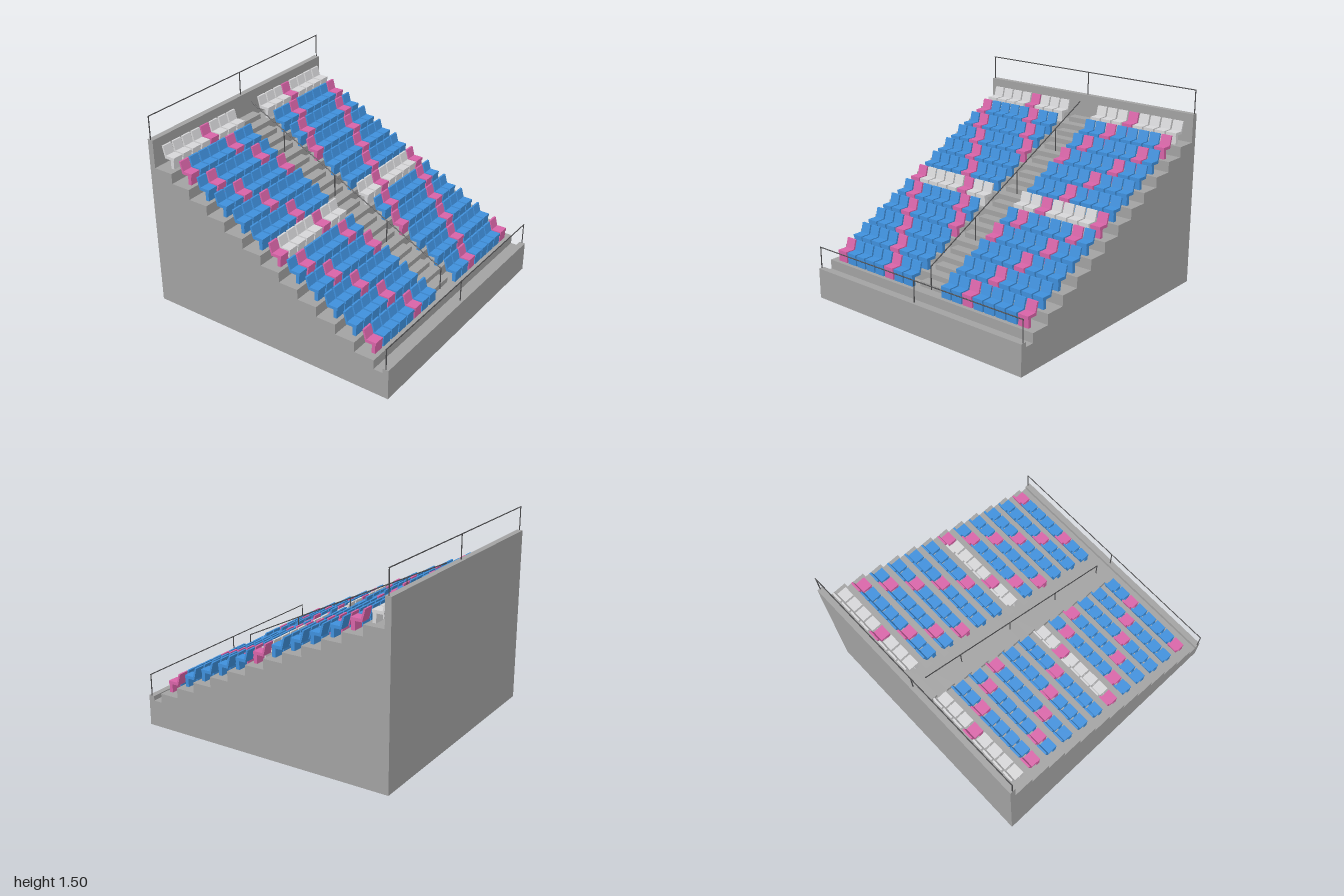
import * as THREE from 'three';

const mat = (name, color) => {
  const m = new THREE.MeshStandardMaterial({ color });
  m.name = name;
  return m;
};

const ROWS = 12, SEATS = 8;
const DEPTH = 1.84 / ROWS, RISE = 0.0767;   // tread depth and row height
const FRONT = 0.885, BASE = 0.265;          // front edge and level of the first row
const HALF_W = 0.955;

// Extrudes a side profile of [-z, y] points along x, centred on x = 0
function sideExtrude(points, width) {
  const shape = new THREE.Shape(points.map(([a, b]) => new THREE.Vector2(a, b)));
  const geo = new THREE.ExtrudeGeometry(shape, { depth: width, bevelEnabled: false });
  geo.rotateY(Math.PI / 2);
  geo.translate(-width / 2, 0, 0);
  return geo;
}

export function createModel() {
  const concrete = mat('concrete grey', 0xa2a2a2);
  const blue = mat('seat blue', 0x3f90dc);
  const pink = mat('seat pink', 0xd864a8);
  const white = mat('seat white', 0xd6d6d8);
  const steel = mat('rail dark grey', 0x4c4c4e);

  const model = new THREE.Group();
  model.name = 'grandstand';
  const group = (name) => {
    const g = new THREE.Group();
    g.name = name;
    model.add(g);
    return g;
  };
  const add = (parent, name, geo, material, x = 0, y = 0, z = 0) => {
    const mesh = new THREE.Mesh(geo, material);
    mesh.name = name;
    mesh.position.set(x, y, z);
    parent.add(mesh);
    return mesh;
  };
  // Round bar between two points
  const bar = (parent, name, a, b, r = 0.004) => {
    const from = new THREE.Vector3(...a), to = new THREE.Vector3(...b);
    const dir = to.clone().sub(from);
    const mesh = add(parent, name, new THREE.CylinderGeometry(r, r, dir.length(), 8), steel);
    mesh.position.copy(from).add(to).multiplyScalar(0.5);
    mesh.quaternion.setFromUnitVectors(new THREE.Vector3(0, 1, 0), dir.normalize());
  };

  // Stepped terrace with front parapet, walkway and back wall
  const profile = [[-1, 0], [-1, 0.23], [-0.955, 0.23], [-0.955, 0.195], [-FRONT, 0.195]];
  for (let r = 0; r < ROWS; r++) {
    const y = BASE + r * RISE;
    profile.push([-FRONT + r * DEPTH, y], [-FRONT + (r + 1) * DEPTH, y]);
  }
  profile.push([0.955, 1.32], [1, 1.32], [1, 0]);
  add(model, 'terrace', sideExtrude(profile, HALF_W * 2), concrete);

  // Half-height steps in the central aisle
  const aisle = group('aisleSteps');
  const stepGeo = new THREE.BoxGeometry(0.21, RISE / 2, DEPTH / 2);
  for (let r = 0; r < ROWS; r++) {
    add(aisle, 'aisleStep', stepGeo, concrete,
      0, BASE + (r + 0.25) * RISE, FRONT - (r + 0.75) * DEPTH);
  }

  // Seats: leg, pan and leaning back in one profile; colours mirror across the aisle
  const seatGeo = sideExtrude([
    [0.03, 0], [0.057, 0], [0.057, 0.064], [0.109, 0.064], [0.133, 0.155],
    [0.119, 0.155], [0.1, 0.086], [0.025, 0.086], [0.025, 0.064], [0.03, 0.064],
  ], 0.083);
  const seats = group('seats');
  for (let r = 0; r < ROWS; r++) {
    for (let c = 0; c < SEATS; c++) {
      const plain = r % 6 === 5 ? white : blue;
      const colour = (r + c) % 5 === 0 ? pink : plain;
      for (const side of [-1, 1]) {
        add(seats, 'seat', seatGeo, colour,
          side * (0.852 - c * 0.0961), BASE + r * RISE, FRONT - r * DEPTH);
      }
    }
  }

  // Guard rails on the front parapet and the back wall
  for (const [name, z, y0, y1] of [['frontRail', 0.978, 0.23, 0.392], ['backRail', -0.978, 1.32, 1.496]]) {
    const rail = group(name);
    bar(rail, 'topBar', [-HALF_W, y1, z], [HALF_W, y1, z]);
    for (const x of [-0.95, 0, 0.95]) bar(rail, 'post', [x, y0, z], [x, y1, z]);
  }

  // Sloping handrail up the aisle
  const hand = group('aisleHandrail');
  const slope = RISE / DEPTH, zStart = 0.81, yStart = 0.44;
  const railY = (z) => yStart + (zStart - z) * slope;
  bar(hand, 'handBar', [0, yStart, zStart], [0, railY(-0.875), -0.875]);
  for (let r = 0; r < ROWS; r += 3) {
    const z = zStart - r * DEPTH;
    bar(hand, 'post', [0, BASE + r * RISE, z], [0, railY(z), z]);
  }

  return model;
}
